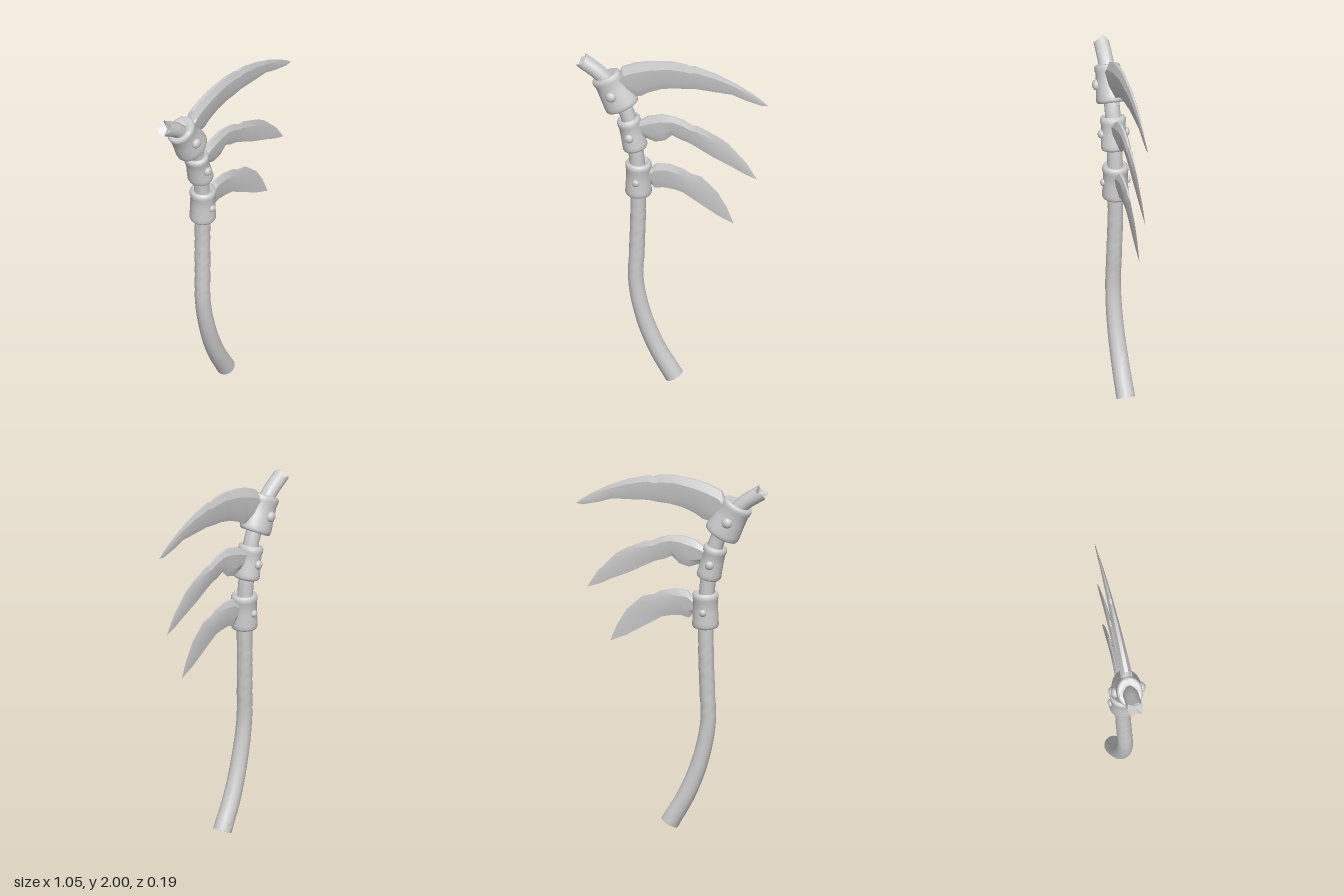
import * as THREE from 'three';
import { toCreasedNormals } from 'three/addons/utils/BufferGeometryUtils.js';

const material = new THREE.MeshStandardMaterial({ color: 0xcccccc });

// Skin a list of equal-length rings; the ends close onto the given centre points.
function loft(rings, startPoint, endPoint, crease) {
  const n = rings[0].length;
  const points = [...rings.flat(), startPoint, endPoint];
  const start = rings.length * n, end = start + 1;
  const index = [];
  for (let j = 0; j < n; j++) {
    const k = (j + 1) % n;
    for (let i = 0; i < rings.length - 1; i++) {
      const a = i * n + j, b = i * n + k, c = b + n, d = a + n;
      index.push(a, b, c, a, c, d);
    }
    index.push(start, k, j);
    index.push(end, start - n + j, start - n + k);
  }
  const geometry = new THREE.BufferGeometry().setFromPoints(points);
  geometry.setIndex(index);
  return toCreasedNormals(geometry, crease);
}

function addMesh(parent, name, geometry) {
  const mesh = new THREE.Mesh(geometry, material);
  mesh.name = name;
  parent.add(mesh);
  return mesh;
}

// Bent shaft with a thicker butt, shallow worn grooves and a splintered top.
function handleGeometry() {
  const path = new THREE.CatmullRomCurve3([
    [0.01, 0.026, -0.008], [-0.085, 0.2, 0], [-0.155, 0.39, 0.008], [-0.196, 0.6, 0.01],
    [-0.193, 0.8, 0.005], [-0.188, 1.0, 0], [-0.187, 1.2, 0], [-0.2, 1.42, 0], [-0.25, 1.65, 0],
    [-0.32, 1.78, 0], [-0.395, 1.87, 0], [-0.495, 1.94, 0],
  ].map((p) => new THREE.Vector3(...p)));
  const steps = 110, sides = 18;
  const frames = path.computeFrenetFrames(steps);
  const rings = [];
  for (let i = 0; i <= steps; i++) {
    const t = i / steps, centre = path.getPointAt(t), ring = [];
    const base = 0.042 + 0.009 * Math.max(0, 1 - t / 0.3);
    for (let j = 0; j < sides; j++) {
      const a = (j / sides) * Math.PI * 2;
      const worn = centre.y > 0.65 && centre.y < 1.08 && Math.sin(a + centre.y * 75) > 0.85;
      const r = worn ? base - 0.002 : base;
      const p = centre.clone()
        .addScaledVector(frames.normals[i], Math.cos(a) * r)
        .addScaledVector(frames.binormals[i], Math.sin(a) * r);
      if (i === steps) p.addScaledVector(frames.tangents[i], 0.012 * Math.sin(a * 3) + 0.006 * Math.cos(a * 5));
      ring.push(p);
    }
    rings.push(ring);
  }
  const top = path.getPointAt(1).addScaledVector(frames.tangents[steps], -0.025);
  return loft(rings, path.getPointAt(0), top, 0.7);
}

// Curved blade from stations [upperX, upperY, lowerX, lowerY], with bevelled back and edge.
function bladeGeometry(stations, tip, thickness) {
  const section = [[0, 0.35], [0.22, 1], [0.72, 0.7], [1, 0], [0.72, -0.7], [0.22, -1], [0, -0.35]];
  const x0 = stations[0][0];
  const rings = stations.map(([ux, uy, lx, ly]) => {
    const half = thickness * (1 - 0.95 * (ux - x0) / (tip[0] - x0));
    return section.map(([down, z]) => new THREE.Vector3(
      ux + (lx - ux) * down, uy + (ly - uy) * down, z * half));
  });
  const [ux, uy, lx, ly] = stations[0];
  const root = new THREE.Vector3((ux + lx) / 2, (uy + ly) / 2, 0);
  return loft(rings, root, new THREE.Vector3(tip[0], tip[1], 0), 0.35);
}

// Sleeve with rounded rims, clamped by a domed rivet on the front and back.
function makeCollar({ name, at, tilt, top, bottom, height, depth, rivet, rivetX = 0 }) {
  const collar = new THREE.Group();
  collar.name = name;
  const h = height / 2, c = 0.015, waist = (top + bottom) / 2 - 0.004;
  const profile = [
    [0.036, -h + 0.01], [bottom - c, -h], [bottom - 0.004, -h + 0.005], [bottom, -h + c],
    [bottom - 0.001, -h + 0.035], [waist, 0], [top - 0.004, h - 0.045], [top, h - 0.033],
    [top, h - c], [top - 0.005, h - 0.005], [top - c, h], [0.036, h - 0.01],
  ].map(([x, y]) => new THREE.Vector2(x, y));
  const sleeve = addMesh(collar, 'sleeve', toCreasedNormals(new THREE.LatheGeometry(profile, 28), 0.8));
  sleeve.scale.z = depth;
  for (const side of [1, -1]) {
    const dome = addMesh(collar, 'rivet', new THREE.SphereGeometry(rivet, 18, 12));
    dome.scale.z = 0.75;
    dome.position.set(rivetX, 0, side * (waist * depth + rivet * 0.05));
  }
  collar.position.set(at[0], at[1], 0);
  collar.rotation.z = tilt;
  return collar;
}

const BLADES = [
  { name: 'upperBlade', thickness: 0.032, tip: [0.53, 1.797], stations: [
    [-0.3, 1.87, -0.28, 1.79], [-0.275, 1.93, -0.22, 1.755], [-0.2, 1.965, -0.17, 1.762],
    [-0.12, 1.985, -0.13, 1.79], [-0.005, 2.0, -0.06, 1.82], [0.075, 1.993, 0.01, 1.835],
    [0.1, 1.983, 0.075, 1.84], [0.13, 1.988, 0.13, 1.847], [0.25, 1.955, 0.25, 1.842],
    [0.355, 1.91, 0.33, 1.84], [0.445, 1.86, 0.4, 1.815], [0.5, 1.823, 0.49, 1.793]] },
  { name: 'middleBlade', thickness: 0.026, tip: [0.468, 1.325], stations: [
    [-0.21, 1.58, -0.2, 1.52], [-0.165, 1.615, -0.15, 1.505], [-0.13, 1.64, -0.095, 1.485],
    [-0.055, 1.66, -0.04, 1.5], [0.01, 1.655, 0, 1.54], [0.065, 1.64, 0.04, 1.52],
    [0.11, 1.615, 0.09, 1.505], [0.14, 1.615, 0.13, 1.485], [0.25, 1.565, 0.22, 1.435],
    [0.31, 1.527, 0.275, 1.41], [0.335, 1.5, 0.33, 1.385], [0.41, 1.42, 0.4, 1.35]] },
  { name: 'lowerBlade', thickness: 0.023, tip: [0.34, 1.03], stations: [
    [-0.17, 1.3, -0.17, 1.23], [-0.11, 1.32, -0.115, 1.22], [-0.085, 1.35, -0.095, 1.195],
    [-0.015, 1.355, -0.05, 1.205], [0.065, 1.335, 0.01, 1.2], [0.1, 1.313, 0.055, 1.19],
    [0.16, 1.3, 0.095, 1.165], [0.25, 1.215, 0.16, 1.125], [0.3, 1.13, 0.25, 1.07]] },
];

const COLLARS = [
  { name: 'upperCollar', at: [-0.32, 1.775], tilt: 0.5, top: 0.085, bottom: 0.098, height: 0.21, depth: 0.82, rivet: 0.029 },
  { name: 'middleCollar', at: [-0.222, 1.525], tilt: 0.23, top: 0.064, bottom: 0.067, height: 0.19, depth: 1.1, rivet: 0.025 },
  { name: 'lowerCollar', at: [-0.185, 1.25], tilt: 0, top: 0.071, bottom: 0.072, height: 0.2, depth: 1, rivet: 0.02 },
];

export function createModel() {
  const model = new THREE.Group();
  model.name = 'threeBladedSickle';
  addMesh(model, 'handle', handleGeometry());
  for (const collar of COLLARS) model.add(makeCollar(collar));
  for (const { name, stations, tip, thickness } of BLADES) {
    addMesh(model, name, bladeGeometry(stations, tip, thickness));
  }
  return model;
}
